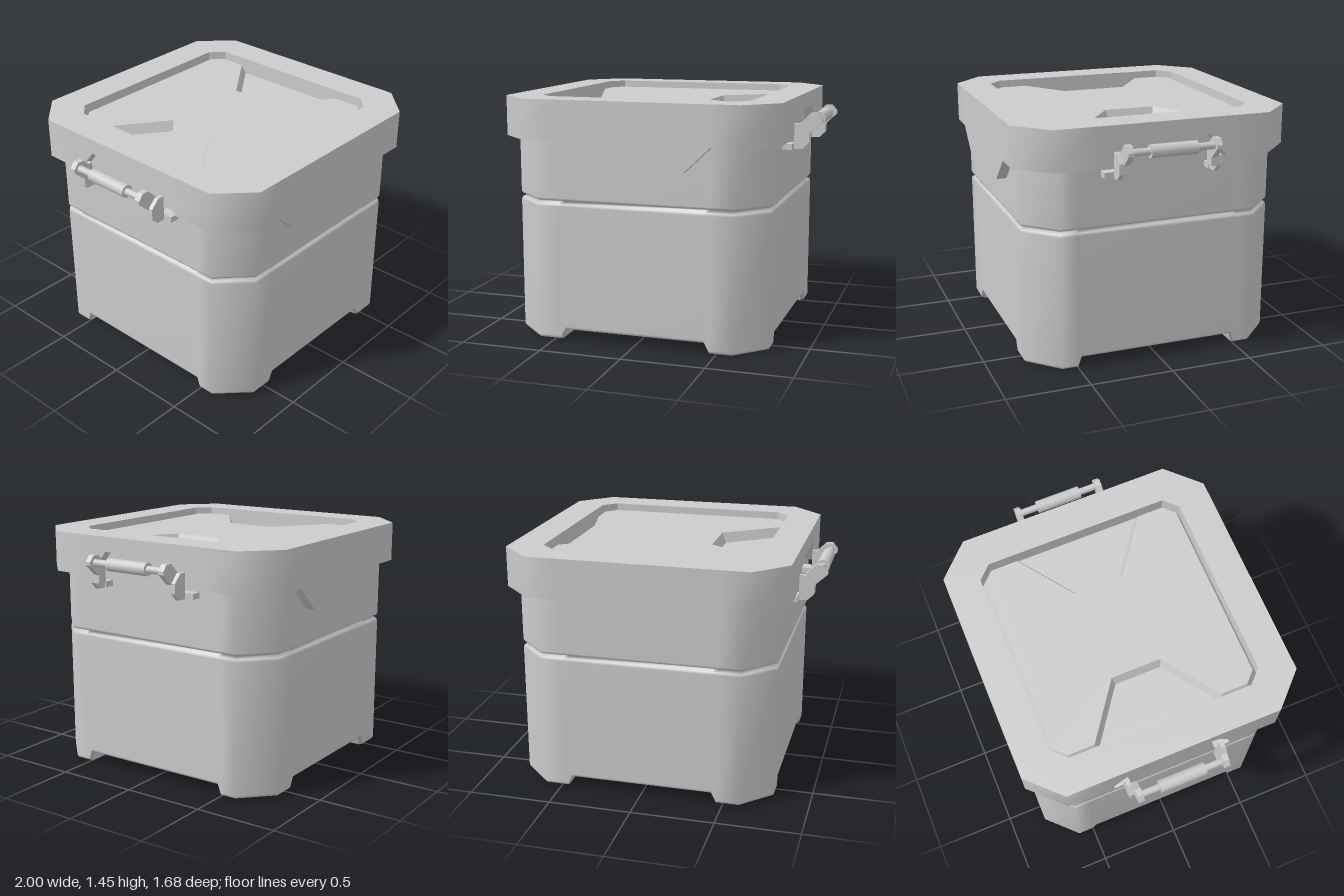
import * as THREE from 'three';

const smooth = new THREE.MeshStandardMaterial({ color: 0xcccccc });
const flat = new THREE.MeshStandardMaterial({ color: 0xcccccc, flatShading: true, side: THREE.DoubleSide });

// Mirrors one quadrant of [x, y, z] points (front centre to side centre) into a full ring
function ring(q) {
  const r = [...q].reverse();
  return [
    ...q,
    ...r.map(([x, y, z]) => [x, y, -z]),
    ...q.map(([x, y, z]) => [-x, y, -z]),
    ...r.map(([x, y, z]) => [-x, y, z]),
  ];
}

// Skins a stack of rings, listed from bottom to top
function loft(rings) {
  const n = rings[0].length, index = [];
  for (let j = 0; j < rings.length - 1; j++) {
    for (let i = 0; i < n; i++) {
      const k = (i + 1) % n, a = j * n + i, b = j * n + k;
      index.push(a, b, b + n, a, b + n, a + n);
    }
  }
  const g = new THREE.BufferGeometry();
  g.setAttribute('position', new THREE.Float32BufferAttribute(rings.flat(2), 3));
  g.setIndex(index);
  g.computeVertexNormals();
  return g;
}

// Horizontal face filling a ring, with an optional hole
function cap(outline, y, hole) {
  const pts = r => r.map(([x, , z]) => new THREE.Vector2(x, -z));
  const shape = new THREE.Shape(pts(outline));
  if (hole) shape.holes.push(new THREE.Path(pts(hole)));
  return new THREE.ShapeGeometry(shape).rotateX(-Math.PI / 2).translate(0, y, 0);
}

function add(parent, name, geometry, material = flat) {
  const m = new THREE.Mesh(geometry, material);
  m.name = name;
  parent.add(m);
  return m;
}

// Body ring: chamfered square, with points where the bottom edge steps up between the feet
function bodyRing(inset, y, followFeet) {
  const s = 0.78 - inset, c = 0.6 - inset * 0.4, up = followFeet ? 0.06 : 0;
  return ring([
    [0.43, y + up, s], [0.46, y, s], [c, y, s],
    [s, y, c], [s, y, 0.5], [s, y + up, 0.48],
  ]);
}

function makeBody() {
  const body = new THREE.Group();
  body.name = 'body';
  add(body, 'bodyShell', loft([
    bodyRing(0.03, 0, true), bodyRing(0.006, 0.01, true), bodyRing(0, 0.025, true),
    bodyRing(0, 0.815), bodyRing(0.006, 0.83), bodyRing(0.03, 0.842),
    bodyRing(0.006, 0.853), bodyRing(0, 0.866), bodyRing(0, 1.4),
  ]), smooth);
  add(body, 'bodyFloor', cap(bodyRing(0.03, 0), 0.06));
  // Corner feet
  const top = [[0.43, 0.06, 0.75], [0.59, 0.06, 0.75], [0.75, 0.06, 0.59], [0.75, 0.06, 0.48], [0.43, 0.06, 0.48]];
  const bottom = [[0.46, 0, 0.75], [0.59, 0, 0.75], [0.75, 0, 0.59], [0.75, 0, 0.5], [0.46, 0, 0.5]];
  for (const sx of [1, -1]) for (const sz of [1, -1]) {
    const place = r => {
      const p = r.map(([x, y, z]) => [x * sx, y, z * sz]);
      return sx * sz > 0 ? p : p.reverse();
    };
    add(body, 'footSides', loft([place(bottom), place(top)]));
    add(body, 'footBase', cap(place(bottom), 0));
  }
  return body;
}

// Hourglass outline of the raised lid panel, shrunk by d
function panelRing(d, y) {
  return ring([
    [0.56 - d * 0.4, y, 0.64 - d], [0.64 - d, y, 0.56 - d * 0.4],
    [0.64 - d, y, 0.38 + d * 0.5], [0.31 - d, y, 0.14 + d * 0.5],
  ]);
}

function makeLid() {
  const lid = new THREE.Group();
  lid.name = 'lid';
  // Skirt: drops at front and back, rises over the handles
  const skirt = [
    [0.32, 1.06, 0.84], [0.48, 1.21, 0.84], [0.65, 1.21, 0.84],
    [0.84, 1.21, 0.65], [0.84, 1.21, 0.39], [0.84, 1.36, 0.27],
  ];
  const inner = skirt.map(([x, y, z]) => [
    x === 0.84 ? 0.76 : x === 0.65 ? 0.59 : x, y,
    z === 0.84 ? 0.76 : z === 0.65 ? 0.59 : z,
  ]);
  const rim = ring(skirt.map(([x, , z]) => [x, 1.45, z]));
  add(lid, 'lidSkirt', loft([ring(skirt), rim]), smooth);
  add(lid, 'lidUnderside', loft([ring(inner), ring(skirt)]));
  // Square pocket in the top with the raised panel inside
  const pocket = y => ring([[0.56, y, 0.64], [0.64, y, 0.56]]);
  add(lid, 'lidTop', cap(rim, 1.45, pocket(1.45)));
  add(lid, 'pocketWall', loft([pocket(1.45), pocket(1.35)]));
  add(lid, 'pocketFloor', cap(pocket(1.35), 1.35));
  add(lid, 'panelEdge', loft([panelRing(0, 1.35), panelRing(0.025, 1.41)]));
  add(lid, 'panelTop', cap(panelRing(0.025, 1.41), 1.41));
  return lid;
}

// Plate cut from an x-y outline, spanning z0 to z1
function plate(points, z0, z1) {
  const shape = new THREE.Shape(points.map(p => new THREE.Vector2(...p)));
  return new THREE.ExtrudeGeometry(shape, { depth: z1 - z0, bevelEnabled: false }).translate(0, 0, z0);
}

function makeHandle() {
  const handle = new THREE.Group();
  handle.name = 'handle';
  const bracket = [[0.77, 1.15], [0.89, 1.15], [0.93, 1.19], [0.93, 1.25], [0.88, 1.3], [0.84, 1.3], [0.84, 1.185], [0.77, 1.185]];
  const arm = [[0.87, 1.19], [0.93, 1.19], [0.93, 1.24], [1, 1.305], [1, 1.325], [0.97, 1.36], [0.93, 1.36], [0.87, 1.3]];
  for (const side of [1, -1]) {
    const span = (p, a, b) => side > 0 ? plate(p, a, b) : plate(p, -b, -a);
    add(handle, 'bracket', span(bracket, 0.278, 0.305));
    add(handle, 'arm', span(arm, 0.245, 0.28));
    add(handle, 'mountBlock', new THREE.BoxGeometry(0.07, 0.035, 0.09)).position.set(0.805, 1.168, side * 0.315);
  }
  const rod = (name, radius, length) => {
    const g = new THREE.CylinderGeometry(radius, radius, length, 16).rotateX(Math.PI / 2);
    add(handle, name, g, smooth).position.set(0.957, 1.317, 0);
  };
  rod('bar', 0.021, 0.5);
  rod('grip', 0.038, 0.28);
  return handle;
}

export function createModel() {
  const model = new THREE.Group();
  model.name = 'coolBox';
  const left = makeHandle(), right = makeHandle();
  left.name = 'leftHandle';
  right.name = 'rightHandle';
  right.rotation.y = Math.PI;
  model.add(makeBody(), makeLid(), left, right);
  return model;
}
